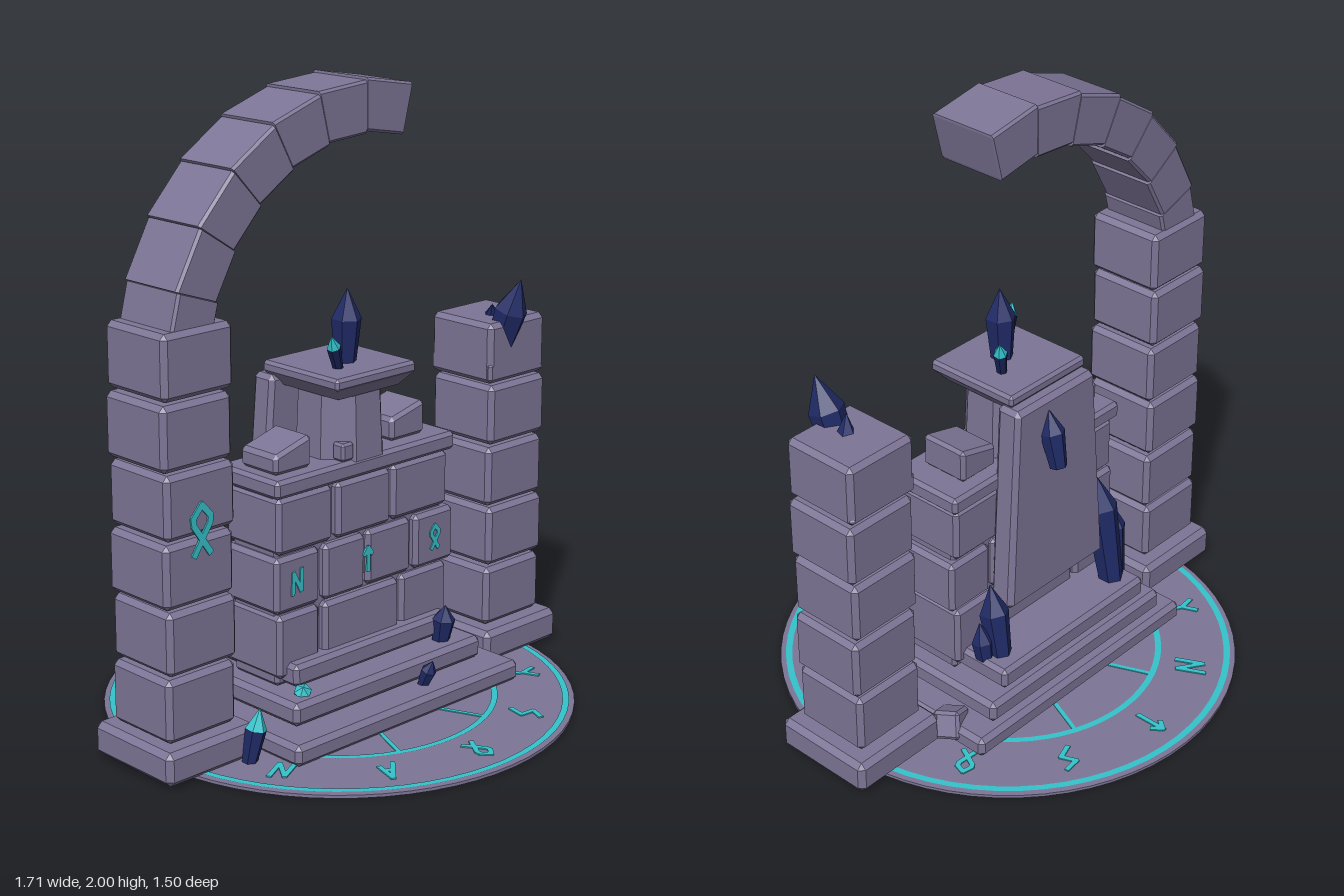
import * as THREE from 'three';
import { ConvexGeometry } from 'three/addons/geometries/ConvexGeometry.js';

const V = (x, y, z) => new THREE.Vector3(x, y, z);
const mat = (name, color) => Object.assign(new THREE.MeshStandardMaterial({ color }), { name });

export function createModel() {
  const model = new THREE.Group();
  model.name = 'ruinedShrine';
  const stone = mat('stone', 0x7d7596);
  const navy = mat('darkCrystal', 0x1f2a66);
  const teal = mat('glowingTeal', 0x35c4cc);
  navy.flatShading = teal.flatShading = true;

  const add = (name, geo, material, parent = model) => {
    const m = new THREE.Mesh(geo, material);
    m.name = name;
    parent.add(m);
    return m;
  };

  // Chamfered block between two corners; warp may move each hull point
  const block = (name, x0, x1, y0, y1, z0, z1, c = 0.012, warp, parent = model) => {
    const pts = [];
    for (const i of [0, 1]) for (const j of [0, 1]) for (const k of [0, 1]) {
      const p = V(i ? x1 : x0, j ? y1 : y0, k ? z1 : z0);
      const d = [i ? -c : c, j ? -c : c, k ? -c : c];
      pts.push(V(p.x, p.y + d[1], p.z + d[2]), V(p.x + d[0], p.y, p.z + d[2]), V(p.x + d[0], p.y + d[1], p.z));
    }
    if (warp) pts.forEach(warp);
    return add(name, new ConvexGeometry(pts), stone, parent);
  };

  // Six-sided crystal from base to tip, optionally with a coloured point
  const crystal = (name, base, tip, r, tipMat = navy) => {
    const g = new THREE.Group();
    g.name = name;
    const dir = V(...tip).sub(V(...base)), h = dir.length(), s = Math.max(0.6 * h, h - 2 * r);
    const lathe = (p) => new THREE.LatheGeometry(p.map(([x, y]) => new THREE.Vector2(x, y)), 6);
    add('shaft', lathe([[0, 0], [r * 0.7, 0], [r, s]]), navy, g);
    add('point', lathe([[r, s], [0, h]]), tipMat, g);
    g.position.set(...base);
    g.quaternion.setFromUnitVectors(V(0, 1, 0), dir.normalize());
    model.add(g);
  };

  // Thin strokes forming an abstract mark in the local xy plane
  const mark = (name, strokes, size, width, parent = model) => {
    const g = new THREE.Group();
    g.name = name;
    for (const [a, b, c, d] of strokes) {
      const len = Math.hypot(c - a, d - b) * size;
      const m = add('stroke', new THREE.BoxGeometry(len + width * 0.6, width, 0.006), teal, g);
      m.position.set((a + c) / 2 * size, (b + d) / 2 * size, 0);
      m.rotation.z = Math.atan2(d - b, c - a);
    }
    parent.add(g);
    return g;
  };
  const arrow = [[0, -.5, 0, .5], [0, .5, -.22, .22], [0, .5, .22, .22]];
  const bend = [[.2, .5, -.2, .2], [-.2, .2, .2, -.1], [.2, -.1, -.15, -.5]];
  const knot = [[0, .5, .22, .25], [.22, .25, .2, .1], [.2, .1, -.2, -.5], [0, .5, -.22, .25], [-.22, .25, -.2, .1], [-.2, .1, .2, -.5]];
  const zigzag = [[-.25, -.5, -.2, .4], [-.2, .4, .2, -.4], [.2, -.4, .25, .5]];
  const fork = [[0, -.5, 0, .1], [0, .1, .3, .5], [0, .1, -.3, .5]];
  const peak = [[-.25, -.5, 0, .5], [0, .5, .2, -.3], [-.12, 0, .15, -.05]];

  // Ground disc with rings and spokes
  const disc = add('groundDisc', new THREE.CylinderGeometry(0.752, 0.752, 0.01, 64), stone);
  disc.position.y = 0.014;
  for (const [r0, r1] of [[.714, .735], [.488, .508], [.23, .25]]) {
    for (const s of [1, -1]) {
      const ring = add('ring', new THREE.RingGeometry(r0, r1, 64), teal);
      ring.rotation.x = -s * Math.PI / 2;
      ring.position.y = s > 0 ? 0.022 : 0.007;
    }
  }
  for (let i = 0; i < 8; i++) {
    const a = (i + 0.5) * Math.PI / 4;
    const spoke = add('spoke', new THREE.BoxGeometry(0.25, 0.006, 0.014), teal);
    spoke.position.set(Math.cos(a) * 0.37, 0.019, Math.sin(a) * 0.37);
    spoke.rotation.y = -a;
  }
  [arrow, bend, knot, fork, fork, bend, knot, peak, zigzag, arrow, fork, zigzag].forEach((s, i) => {
    const pivot = new THREE.Group();
    pivot.name = 'discMark';
    pivot.rotation.y = -i * Math.PI / 6;
    const m = mark('mark', s, 0.1, 0.016, pivot);
    m.rotation.x = -Math.PI / 2;
    m.position.set(0, 0.02, -0.61);
    model.add(pivot);
  });

  // Pillars
  for (const side of [-1, 1]) {
    const x = side * 0.68, n = side < 0 ? 6 : 5;
    block('pillarBase', x - .174, x + .174, .018, .125, -.177, .177, .018);
    for (let i = 0; i < n; i++) {
      const y = 0.13 + i * 0.2075, o = (i % 2 ? 0.004 : -0.004);
      block('pillarBlock', x - .132 + o, x + .132 + o, y, y + .199, -.132, .134, .016);
    }
  }
  block('brokenPillarTop', .545, .805, .965, 1.03, -.132, .134, .01, (p) => {
    if (p.y > 1) p.y -= (p.x - .545) * 0.15;
  });
  const pillarMark = mark('pillarMark', knot, 0.15, 0.02);
  pillarMark.position.set(-0.68, 0.77, 0.136);

  // Broken arch of wedge blocks
  const step = 14.2 * Math.PI / 180, start = 75.6 * Math.PI / 180;
  for (let i = 0; i < 7; i++) {
    block('archBlock', -.5, .5, .622, .782, -.118, .118, .008, (p) => {
      const a = start + (i + 0.5 - p.x) * step;
      const r = p.y + (p.x > 0 ? -0.004 : 0.004);
      p.set(Math.cos(a) * r, 1.218 + Math.sin(a) * r, p.z);
    });
  }

  // Stepped plinth
  block('lowerStep', -.49, .49, .018, .087, -.335, .335, .016);
  block('middleStep', -.41, .41, .093, .167, -.31, .24, .016);
  block('upperStep', -.34, .34, .178, .25, -.295, .165, .014);

  // Brick wall and its coping
  const rows = [
    [.2, .405, [-.375, -.19, .15, .372]],
    [.412, .592, [-.385, -.188, 0, .207, .395]],
    [.6, .78, [-.375, -.135, .11, .372]],
  ];
  for (const [y0, y1, xs] of rows) {
    for (let i = 0; i + 1 < xs.length; i++) {
      block('wallBlock', xs[i] + .006, xs[i + 1] - .006, y0, y1, -.12, .122 + (i % 2) * .006, .014);
    }
  }
  block('wallCore', -.36, .36, .17, .79, -.1, .1);
  block('wallCoping', -.385, .385, .783, .842, -.135, .135, .012);
  [[-.295, zigzag, .122], [0, arrow, .128], [.3, knot, .128]].forEach(([x, s, z]) => {
    mark('wallMark', s, 0.075, 0.014).position.set(x, .505, z + .001);
  });

  // Altar pedestal and flared bowl
  const pedestal = add('pedestal', new THREE.CylinderGeometry(.135, .145, .22, 8).toNonIndexed(), stone);
  pedestal.geometry.computeVertexNormals();
  pedestal.position.y = .945;
  pedestal.rotation.y = Math.PI / 8;
  block('altarBowl', -.165, .165, 1.045, 1.092, -.165, .165, .004, (p) => {
    if (p.y < 1.06) { p.x *= .8; p.z *= .8; }
  });
  block('altarTop', -.17, .17, 1.082, 1.122, -.168, .168, .01);

  // Tapered slab at the back
  block('backSlab', -.225, .225, .38, 1.08, -.215, -.125, .016, (p) => {
    const t = (p.y - .38) / .7;
    p.x *= 1 - t * .22;
    p.z += t * .012;
  });

  // Rubble
  const slope = (k, cx, y) => (p) => { if (p.y > y) p.y += (p.x - cx) * k; };
  block('rubble', -.35, -.2, .842, .925, -.07, .09, .012, slope(.28, -.275, .88));
  block('rubble', .15, .3, .842, .935, -.09, .08, .012, slope(.25, .225, .88));
  block('rubble', -.11, -.06, .842, .9, .08, .13, .008);
  const chip = block('rubble', -.045, .045, -.045, .045, -.045, .045, .01);
  chip.position.set(.465, .068, -.18);
  chip.rotation.set(.2, .4, .3);

  // Crystals
  crystal('altarCrystal', [.005, 1.1, .02], [.005, 1.355, .03], .048);
  crystal('altarCrystalLeft', [-.06, 1.11, .06], [-.12, 1.235, .09], .022, teal);
  crystal('altarCrystalRight', [.07, 1.11, -.04], [.115, 1.245, -.07], .022, teal);
  crystal('pillarCrystal', [.635, .99, .06], [.66, 1.295, .155], .056);
  crystal('pillarCrystalSmall', [.74, .98, -.04], [.64, 1.2, .05], .035);
  crystal('groundCrystal', [-.555, .015, .19], [-.52, .185, .2], .034, teal);
  crystal('stepCrystal', [.29, .16, .17], [.3, .285, .18], .04);
  crystal('stepCrystalSmall', [.125, .08, .25], [.135, .17, .285], .026);
  crystal('stepShard', [-.32, .15, .17], [-.34, .195, .195], .028, teal);
  crystal('backSlabCrystal', [.04, .85, -.245], [.04, 1.04, -.2], .04);
  crystal('backCrystal', [-.27, .2, -.22], [-.26, .62, -.15], .055);
  crystal('backCrystal', [-.31, .2, -.2], [-.32, .5, -.16], .045);
  crystal('backCrystal', [.27, .2, -.22], [.26, .48, -.16], .048);
  crystal('backCrystal', [.31, .2, -.19], [.32, .37, -.17], .035);

  return model;
}
